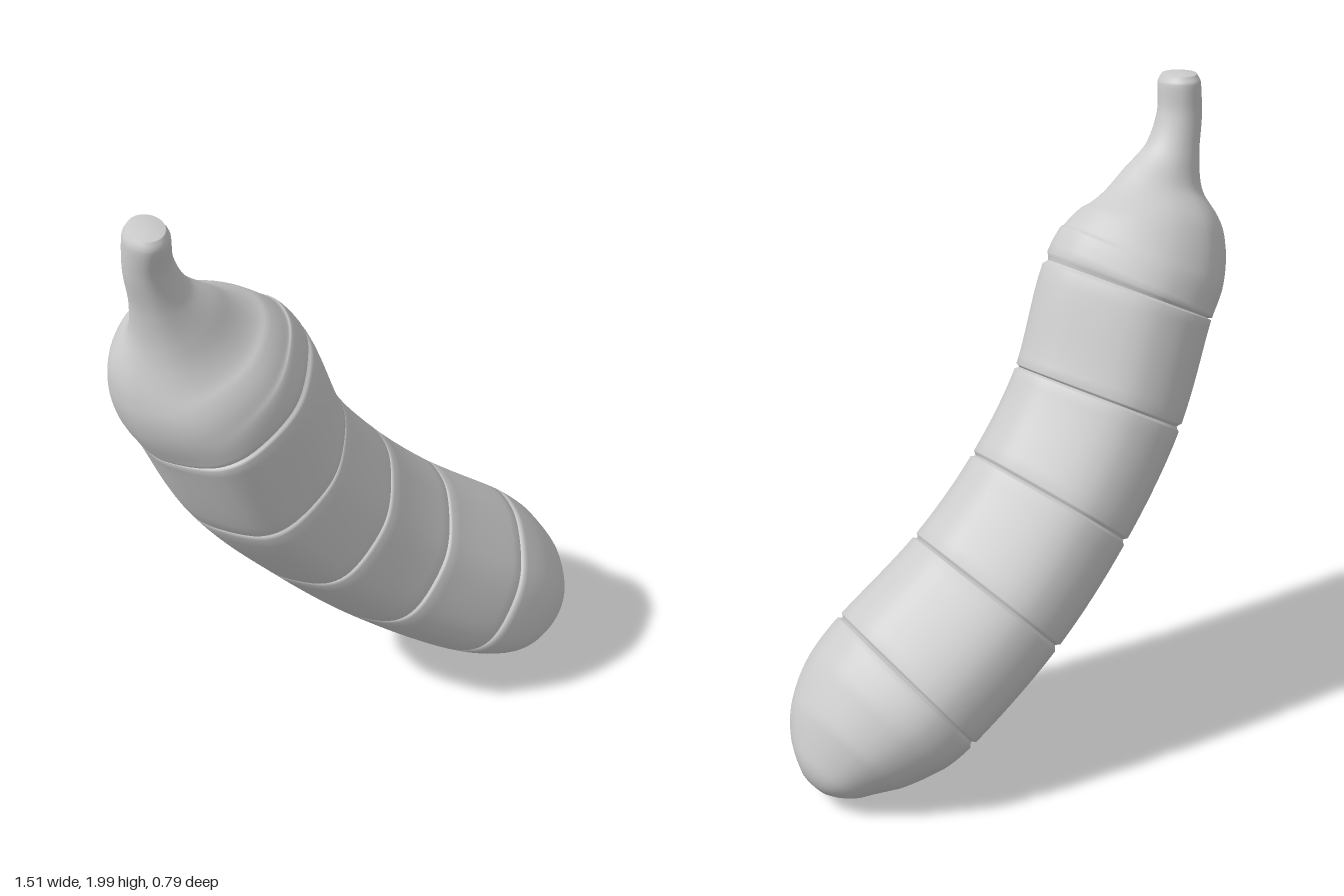
import * as THREE from 'three';

// Spine sections from stem to tip: centre x, y, z, half-width in the bend plane,
// half-width across it, and roundness (0 faceted, 1 oval)
const SECTIONS = [
  [-0.64, 1.99, 0.205, 0.05, 0.06, 0.9],
  [-0.64, 1.965, 0.203, 0.062, 0.074, 0.8],
  [-0.637, 1.87, 0.19, 0.068, 0.07, 0.7],
  [-0.608, 1.76, 0.175, 0.086, 0.084, 0.6],
  [-0.568, 1.66, 0.16, 0.145, 0.12, 0.6],
  [-0.533, 1.555, 0.133, 0.23, 0.207, 0.5],
  [-0.49, 1.46, 0.118, 0.266, 0.26, 0.3],
  [-0.435, 1.37, 0.105, 0.275, 0.28, 0.1],
  [-0.31, 1.06, 0.05, 0.27, 0.288, 0],
  [-0.115, 0.785, -0.01, 0.265, 0.298, 0],
  [0.115, 0.535, -0.05, 0.268, 0.308, 0],
  [0.39, 0.31, -0.074, 0.27, 0.315, 0.1],
  [0.503, 0.23, -0.084, 0.248, 0.297, 0.3],
  [0.602, 0.158, -0.102, 0.196, 0.24, 0.6],
  [0.672, 0.097, -0.115, 0.122, 0.16, 0.8],
  [0.706, 0.058, -0.115, 0.05, 0.07, 0.9],
];
const LAST = SECTIONS.length - 1;
const SIDES = 80;
const GROOVE = 0.011, DEPTH = 0.012;

const centres = SECTIONS.map(s => new THREE.Vector3(s[0], s[1], s[2]));
const spine = new THREE.CatmullRomCurve3(centres);
const sizes = new THREE.CatmullRomCurve3(
  SECTIONS.map(s => new THREE.Vector3(s[3], s[4], s[5])), false, 'catmullrom', 0.5);

// Faceted peel outline of unit half-width, with each corner softened
const CORNERS = [
  [1.02, 0.26], [0.55, 0.87], [-0.3, 1.05], [-0.9, 0.42],
  [-1.02, -0.2], [-0.38, -1.03], [0.35, -1.01], [1.02, -0.27],
].map(([u, v]) => new THREE.Vector3(u, v, 0));
const OUTLINE = new THREE.CatmullRomCurve3(CORNERS.flatMap((p, i) => {
  const next = CORNERS[(i + 1) % CORNERS.length];
  return [p.clone().lerp(next, 0.2), p.clone().lerp(next, 0.8)];
}), true).getPoints(SIDES).slice(0, SIDES);

// One ring of points square to the spine at section position s
function ring(s, inset) {
  const c = spine.getPoint(s / LAST), size = sizes.getPoint(s / LAST);
  const t = spine.getTangent(s / LAST);
  const v = new THREE.Vector3(0, 0, 1).addScaledVector(t, -t.z).normalize();
  const u = new THREE.Vector3().crossVectors(v, t);
  return OUTLINE.map(o => {
    const p = o.clone().lerp(o.clone().normalize(), size.z);
    return c.clone()
      .addScaledVector(u, (size.x - inset) * p.x)
      .addScaledVector(v, (size.y - inset) * p.y);
  });
}

// Skin between two section positions; cut ends dip into a groove, free ends are closed
function slice(name, from, to, cutStart, cutEnd, material) {
  const e0 = GROOVE / centres[from].distanceTo(centres[from + 1]);
  const e1 = GROOVE / centres[to].distanceTo(centres[to - 1]);
  const start = from + (cutStart ? e0 : 0), end = to - (cutEnd ? e1 : 0);
  const rings = [];
  if (cutStart) rings.push(ring(from, DEPTH), ring(from + e0 * 0.5, DEPTH * 0.6));
  const steps = (to - from) * 8;
  for (let i = 0; i <= steps; i++) rings.push(ring(start + (end - start) * i / steps, 0));
  if (cutEnd) rings.push(ring(to - e1 * 0.5, DEPTH * 0.6), ring(to, DEPTH));

  const points = rings.flat(), index = [];
  for (let i = 0; i < rings.length - 1; i++) {
    for (let j = 0; j < SIDES; j++) {
      const k = (j + 1) % SIDES;
      const a = i * SIDES + j, b = i * SIDES + k;
      index.push(a, b, a + SIDES, b, b + SIDES, a + SIDES);
    }
  }
  // Fan across a free end
  const close = (base, centre, flip) => {
    const c = points.push(centre) - 1;
    for (let j = 0; j < SIDES; j++) {
      const a = base + j, b = base + (j + 1) % SIDES;
      index.push(c, flip ? b : a, flip ? a : b);
    }
  };
  const lastBase = (rings.length - 1) * SIDES;
  if (!cutStart) close(0, centres[from].clone().add(new THREE.Vector3(0, 0.008, 0)), true);
  if (!cutEnd) close(lastBase, centres[to].clone().add(new THREE.Vector3(-0.01, 0.01, 0)), false);

  const geometry = new THREE.BufferGeometry().setFromPoints(points);
  geometry.setIndex(index);
  geometry.computeVertexNormals();
  const mesh = new THREE.Mesh(geometry, material);
  mesh.name = name;
  return mesh;
}

export function createModel() {
  const group = new THREE.Group();
  group.name = 'slicedBanana';
  const material = new THREE.MeshStandardMaterial({ color: 0xcccccc, side: THREE.DoubleSide });
  // Stem end, four middle slices, tip end
  const bounds = [0, 7, 8, 9, 10, 11, LAST];
  for (let i = 0; i < 6; i++) {
    const name = i === 0 ? 'stemEnd' : i === 5 ? 'tipEnd' : `slice${i}`;
    group.add(slice(name, bounds[i], bounds[i + 1], i > 0, i < 5, material));
  }
  return group;
}
